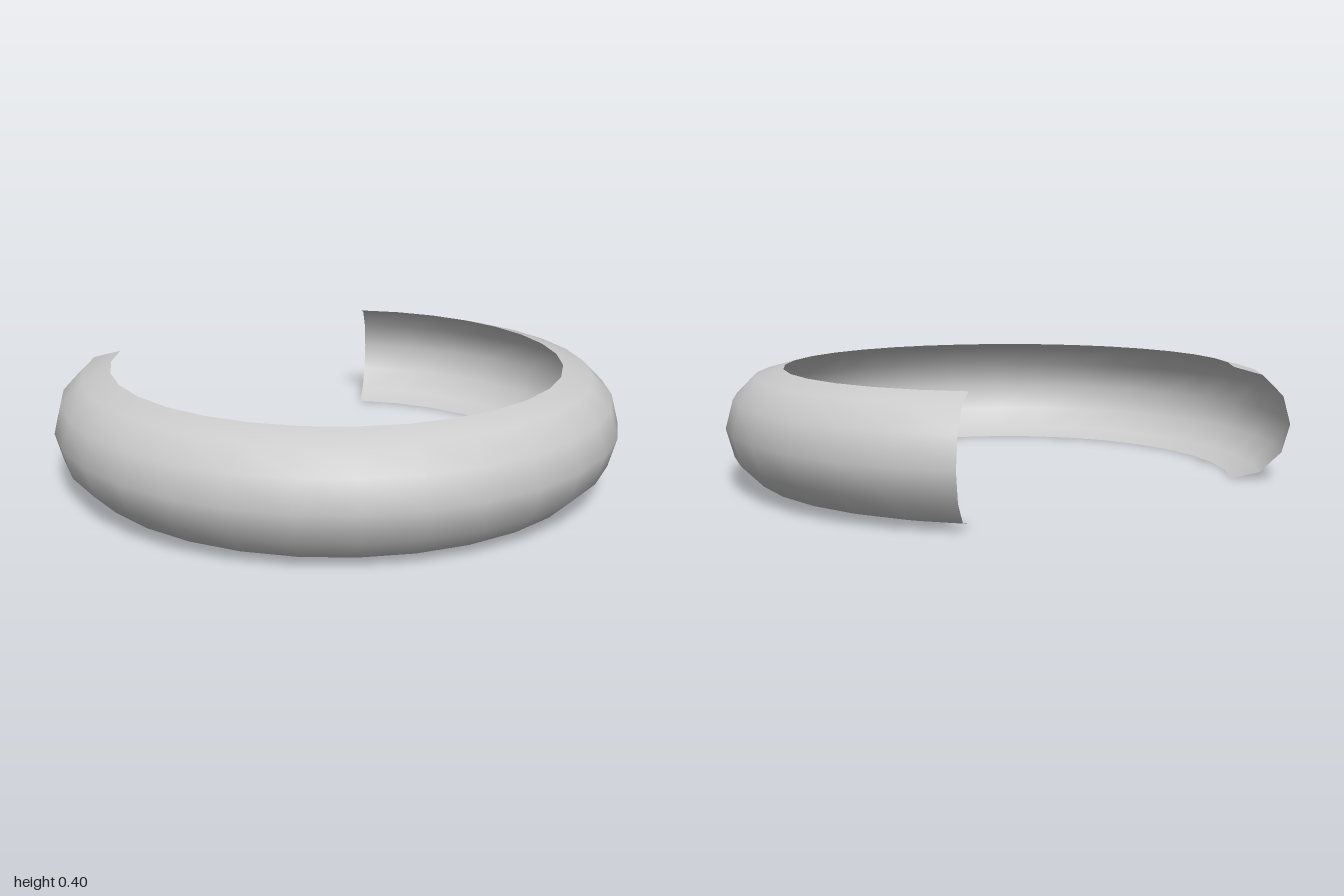
import * as THREE from 'three';

const RING = 0.8;  // radius to the centre of the tube
const TUBE = 0.2;  // radius of the half-round cross-section
const STEPS = 6;   // facets across the half circle

export function createModel() {
  const group = new THREE.Group();

  // Outer half of a tube's cross-section, from bottom to top
  const profile = [];
  for (let i = 0; i <= STEPS; i++) {
    const a = -Math.PI / 2 + (i / STEPS) * Math.PI;
    profile.push(new THREE.Vector2(RING + TUBE * Math.cos(a), TUBE + TUBE * Math.sin(a)));
  }

  // Three-quarter sweep, open at the back right quadrant (-x, -z)
  const geometry = new THREE.LatheGeometry(profile, 24, -Math.PI / 2, Math.PI * 1.5);
  const material = new THREE.MeshStandardMaterial({ color: 0xcccccc, side: THREE.DoubleSide });
  const shell = new THREE.Mesh(geometry, material);
  shell.name = 'openRingShell';
  group.add(shell);

  return group;
}
